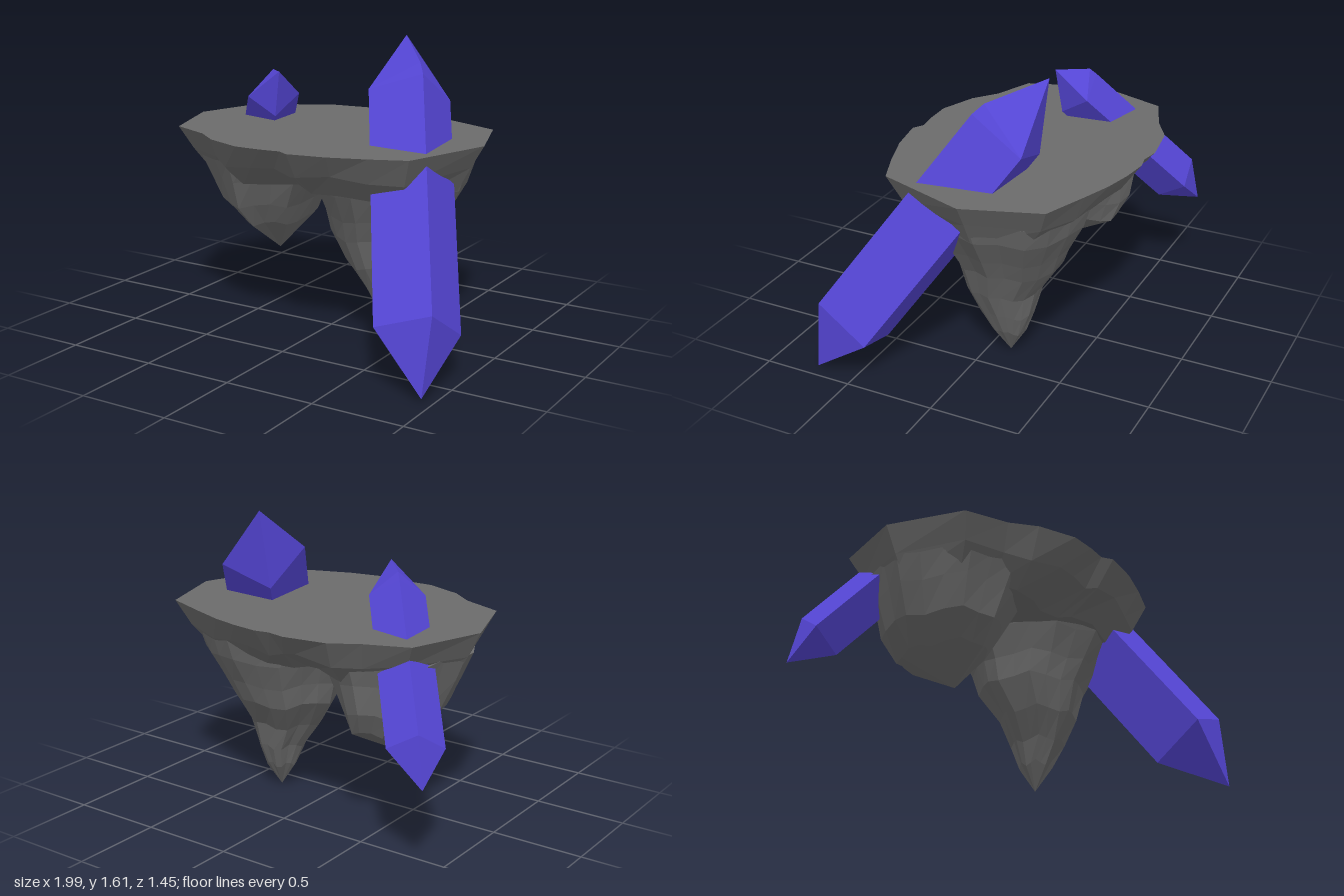
import * as THREE from 'three';
import { ConvexGeometry } from 'three/addons/geometries/ConvexGeometry.js';

const V = (x, y, z) => new THREE.Vector3(x, y, z);

// Skin closed rings listed from bottom to top, with a fan at each end
function loft(rings, bottom, top) {
  const pts = [];
  const n = rings[0].length;
  for (let i = 0; i < n; i++) {
    const j = (i + 1) % n;
    for (let r = 0; r < rings.length - 1; r++) {
      const lo = rings[r], up = rings[r + 1];
      pts.push(lo[i], up[i], lo[j], lo[j], up[i], up[j]);
    }
    const first = rings[0], last = rings[rings.length - 1];
    pts.push(first[i], first[j], bottom, last[j], last[i], top);
  }
  const geo = new THREE.BufferGeometry().setFromPoints(pts);
  geo.computeVertexNormals();
  return geo;
}

// Hanging rock spike: each section is [y, centre x, centre z, radius x, radius z]
function spike(tip, sections, sides, seed) {
  const rings = sections.map(([y, cx, cz, rx, rz], k) =>
    Array.from({ length: sides }, (_, i) => {
      const a = (i / sides) * Math.PI * 2;
      const rough = 1 + 0.035 * Math.sin(i * 2.4 + seed + k * 0.4);
      const wave = 0.016 * Math.sin(i * 1.7 + seed);
      return V(cx + Math.cos(a) * rx * rough, y + wave, cz + Math.sin(a) * rz * rough);
    }));
  const [y, cx, cz] = sections[sections.length - 1];
  return loft(rings, tip, V(cx, y, cz));
}

// Four-sided slanted crystal: corners of the lower end, axis offset, two points
function crystal(corners, axis, lowTip, highTip) {
  const high = corners.map((p) => p.clone().add(axis));
  // small chip on the ridge below the upper point
  const chip = high[0].clone().lerp(highTip, 0.16).add(V(0, 0.025, 0));
  return new ConvexGeometry([...corners, ...high, lowTip, highTip, chip]);
}

export function createModel() {
  const group = new THREE.Group();
  const rock = new THREE.MeshStandardMaterial({ color: 0x6b6b6b, flatShading: true });
  const violet = new THREE.MeshStandardMaterial({ color: 0x5546d6, flatShading: true });
  const add = (name, geo, mat) => {
    const mesh = new THREE.Mesh(geo, mat);
    mesh.name = name;
    group.add(mesh);
  };

  // Flat-topped slab, tapering inward underneath and pinched at mid-length
  const outline = [
    [-0.94, -0.1], [-0.8, -0.51], [-0.57, -0.6], [-0.42, -0.69], [-0.18, -0.725], [-0.08, -0.705],
    [0, -0.72], [0.15, -0.7], [0.3, -0.665], [0.47, -0.605], [0.72, -0.51], [0.86, -0.1],
    [0.69, 0.4], [0.5, 0.48], [0.3, 0.55], [0.09, 0.59], [0.03, 0.555], [-0.08, 0.57],
    [-0.23, 0.575], [-0.44, 0.5], [-0.57, 0.4], [-0.8, 0.31],
  ];
  const slabRing = (y, sx, sz, pinch, wave) => outline.map(([x, z], i) => {
    const squeeze = sz - pinch * Math.exp(-(((x + 0.1) / 0.18) ** 2));
    return V(-0.04 + (x + 0.04) * sx, y + wave * Math.sin(i * 1.9), -0.08 + (z + 0.08) * squeeze);
  });
  add('islandTop', loft([
    slabRing(0.835, 0.84, 0.66, 0.2, 0.012),
    slabRing(0.96, 0.92, 0.87, 0.06, 0.02),
    slabRing(1.1, 1, 1, 0, 0),
  ], V(-0.06, 0.83, -0.1), V(-0.04, 1.1, -0.08)), rock);

  // Hanging spikes
  add('tallSpike', spike(V(0.31, 0, -0.12), [
    [0.14, 0.31, -0.115, 0.085, 0.09], [0.26, 0.31, -0.1, 0.13, 0.15],
    [0.4, 0.29, -0.08, 0.205, 0.205], [0.56, 0.27, -0.11, 0.285, 0.285],
    [0.68, 0.29, -0.11, 0.33, 0.335], [0.83, 0.305, -0.11, 0.405, 0.41],
    [0.96, 0.31, -0.1, 0.45, 0.46],
  ], 20, 0.6), rock);
  add('shortSpike', spike(V(-0.4, 0.37, -0.09), [
    [0.55, -0.435, -0.15, 0.18, 0.27], [0.67, -0.465, -0.13, 0.265, 0.345],
    [0.83, -0.455, -0.11, 0.345, 0.39], [0.96, -0.45, -0.1, 0.4, 0.44],
  ], 20, 2.1), rock);

  // Crystals piercing the island
  add('largeCrystal', crystal(
    [V(0.97, 0.43, 0.67), V(0.99, 0.25, 0.39), V(0.69, 0.15, 0.43), V(0.67, 0.33, 0.71)],
    V(-0.43, 1.03, -0.69), V(0.945, 0.02, 0.72), V(0.28, 1.61, -0.32)), violet);
  add('smallCrystal', crystal(
    [V(-0.95, 0.74, -0.68), V(-1, 0.63, -0.51), V(-0.83, 0.53, -0.53), V(-0.78, 0.64, -0.7)],
    V(0.41, 0.6, 0.45), V(-1, 0.48, -0.715), V(-0.375, 1.39, -0.055)), violet);

  return group;
}
